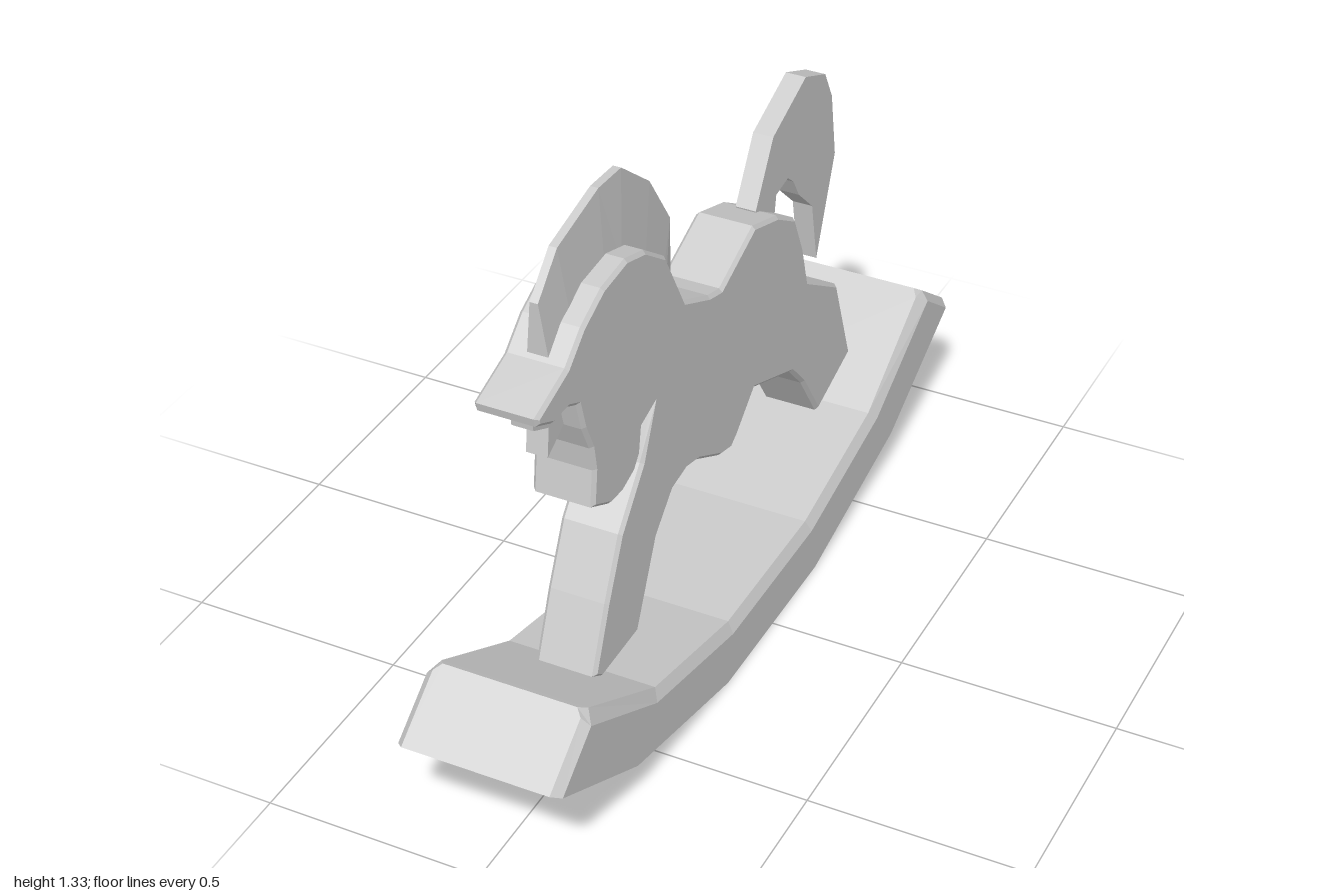
import * as THREE from 'three';

const material = new THREE.MeshStandardMaterial({ color: 0xcccccc, flatShading: true });

function addPart(group, name, geometry) {
  const mesh = new THREE.Mesh(geometry, material);
  mesh.name = name;
  group.add(mesh);
}

// Side outline of [z, y] points, cut from a board centred on x = 0
function board(outline, halfWidth, bevel = 0) {
  const shape = new THREE.Shape(outline.map(([z, y]) => new THREE.Vector2(z, y)));
  const depth = 2 * (halfWidth - bevel);
  const geometry = new THREE.ExtrudeGeometry(shape, {
    depth,
    bevelEnabled: bevel > 0,
    bevelSize: bevel,
    bevelThickness: bevel,
    bevelOffset: -bevel,
    bevelSegments: 1,
  });
  return geometry.translate(0, 0, -depth / 2).rotateY(-Math.PI / 2);
}

// Solid through cross-sections running from front to back.
// Each station is { low: [z, y], high: [z, y], section: [[x, t], ...] },
// with t going from the low to the high point.
function loft(stations) {
  const n = stations[0].section.length;
  const positions = [];
  const index = [];
  for (const { low, high, section } of stations) {
    for (const [x, t] of section) {
      positions.push(x, low[1] + (high[1] - low[1]) * t, low[0] + (high[0] - low[0]) * t);
    }
  }
  for (let i = 0; i < stations.length - 1; i++) {
    for (let j = 0; j < n; j++) {
      const a = i * n + j;
      const b = i * n + (j + 1) % n;
      index.push(a, a + n, b, b, a + n, b + n);
    }
  }
  const last = (stations.length - 1) * n;
  for (let j = 1; j < n - 1; j++) {
    index.push(0, j, j + 1, last, last + j + 1, last + j);
  }
  const geometry = new THREE.BufferGeometry();
  geometry.setAttribute('position', new THREE.Float32BufferAttribute(positions, 3));
  geometry.setIndex(index);
  const flat = geometry.toNonIndexed();
  flat.computeVertexNormals();
  return flat;
}

// Rocker section with chamfered upper edges
function rockerSection(w, cx, ct) {
  return [[-w, 0], [w, 0], [w, 1 - ct], [w - cx, 1], [cx - w, 1], [-w, 1 - ct]];
}

function rockerGeometry() {
  const half = [
    { low: [1, 0.28], high: [0.85, 0.39], section: rockerSection(0.168, 0.015, 0.1) },
    { low: [0.98, 0.268], high: [0.83, 0.379], section: rockerSection(0.187, 0.02, 0.18) },
    { low: [0.66, 0.1], high: [0.55, 0.223], section: rockerSection(0.187, 0.015, 0.18) },
    { low: [0.23, 0], high: [0.2, 0.145], section: rockerSection(0.187, 0.015, 0.18) },
  ];
  const back = half.map(({ low, high, section }) => ({
    low: [-low[0], low[1]], high: [-high[0], high[1]], section,
  }));
  return loft([...half, ...back.reverse()]);
}

// Mane: blade that thins towards its outer edge
function maneGeometry() {
  const roots = [[0.69, 1.07], [0.6, 1.12], [0.46, 1.15], [0.39, 1.13],
    [0.29, 1.05], [0.22, 0.96], [0.205, 0.915]];
  const tips = [[0.7, 1.21], [0.62, 1.29], [0.45, 1.33], [0.355, 1.325],
    [0.235, 1.23], [0.145, 1.095], [0.145, 0.915]];
  const section = [[-0.025, 0], [0.025, 0], [0.009, 1], [-0.009, 1]];
  return loft(roots.map((low, i) => ({ low, high: tips[i], section })));
}

const BODY = [
  // forehead, neck and back
  [0.825, 1.04], [0.7, 1.08], [0.635, 1.135], [0.55, 1.175], [0.45, 1.185], [0.37, 1.16],
  [0.28, 1.095], [0.195, 0.94], [0.08, 0.885], [0.025, 0.87], [-0.135, 0.935], [-0.255, 0.895],
  // rump and hind leg
  [-0.345, 0.84], [-0.39, 0.74], [-0.42, 0.635], [-0.585, 0.53], [-0.67, 0.295], [-0.49, 0.236],
  // belly
  [-0.405, 0.365], [-0.34, 0.435], [-0.14, 0.515], [-0.055, 0.445], [-0.025, 0.427], [0.025, 0.44],
  [0.135, 0.5], [0.195, 0.515], [0.26, 0.505], [0.335, 0.435],
  // foreleg and chest
  [0.425, 0.245], [0.59, 0.24], [0.62, 0.262], [0.56, 0.41], [0.495, 0.545], [0.395, 0.66],
  [0.34, 0.775],
  // cheek, jaw and muzzle
  [0.395, 0.755], [0.405, 0.695], [0.43, 0.665], [0.485, 0.647], [0.535, 0.65], [0.61, 0.69],
  [0.6, 0.775], [0.61, 0.835], [0.64, 0.9], [0.66, 0.97], [0.7, 0.99], [0.76, 0.99], [0.82, 1.02],
];

const TAIL = [
  [-0.235, 0.905], [-0.32, 1.045], [-0.485, 1.11], [-0.59, 1.065], [-0.63, 0.99], [-0.655, 0.83],
  [-0.565, 0.6], [-0.535, 0.755], [-0.46, 0.825], [-0.43, 0.875], [-0.4, 0.9], [-0.34, 0.89],
  [-0.33, 0.83], [-0.25, 0.86],
];

const BEARD = [
  [0.765, 0.995], [0.76, 0.96], [0.7, 0.93], [0.708, 0.863], [0.64, 0.9], [0.6, 0.95], [0.64, 1.02],
];

export function createModel() {
  const horse = new THREE.Group();
  horse.name = 'rockingHorse';
  addPart(horse, 'rocker', rockerGeometry());
  addPart(horse, 'body', board(BODY, 0.07, 0.008));
  addPart(horse, 'mane', maneGeometry());
  addPart(horse, 'tail', board(TAIL, 0.024));
  addPart(horse, 'beard', board(BEARD, 0.024));
  return horse;
}
